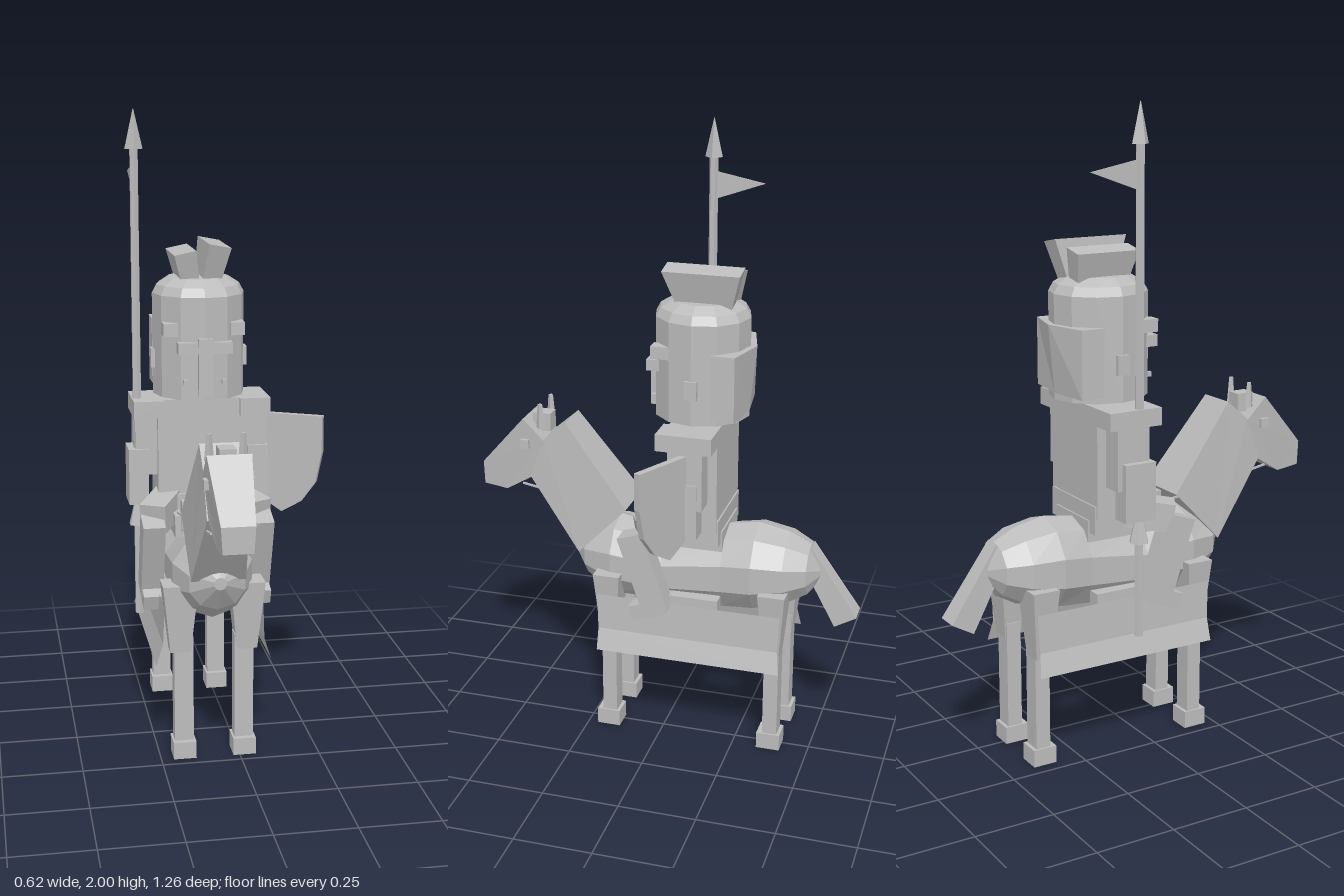
import * as THREE from 'three';

const grey = new THREE.MeshStandardMaterial({ color: 0xbcbcbc, side: THREE.DoubleSide });
grey.name = 'stone grey';

function add(parent, name, geo) {
  const g = geo.index ? geo.toNonIndexed() : geo;
  g.computeVertexNormals();
  const m = new THREE.Mesh(g, grey);
  m.name = name;
  parent.add(m);
  return m;
}

// Box given by its extents on each axis
function box(parent, name, [x0, x1], [y0, y1], [z0, z1]) {
  const g = new THREE.BoxGeometry(x1 - x0, y1 - y0, z1 - z0);
  g.translate((x0 + x1) / 2, (y0 + y1) / 2, (z0 + z1) / 2);
  return add(parent, name, g);
}

// Side profile of [z, y, halfWidth] points, widened in x about cx
function profile(parent, name, pts, cx = 0) {
  const shape = new THREE.Shape(pts.map(p => new THREE.Vector2(p[0], p[1])));
  const g = new THREE.ExtrudeGeometry(shape, { depth: 1, bevelEnabled: false });
  const pos = g.attributes.position;
  for (let i = 0; i < pos.count; i++) {
    const z = pos.getX(i), y = pos.getY(i), d = pos.getZ(i);
    const p = pts.find(q => Math.hypot(q[0] - z, q[1] - y) < 1e-4);
    pos.setXYZ(i, cx + (1 - 2 * d) * p[2], y, z);
  }
  return add(parent, name, g);
}

// Four-sided bar between two points
function bar(parent, name, a, b, w, d) {
  const p = new THREE.Vector3(...a), q = new THREE.Vector3(...b);
  const m = add(parent, name, new THREE.BoxGeometry(w, d, p.distanceTo(q)));
  m.position.copy(p).add(q).multiplyScalar(0.5);
  m.quaternion.setFromRotationMatrix(new THREE.Matrix4().lookAt(q, p, m.up));
  return m;
}

// Faceted barrel from [z, top, bottom, halfWidth] sections, front to rear
function barrel(sections, n = 10) {
  const v = [], idx = [];
  sections.forEach(([z, t, b, w]) => {
    for (let i = 0; i < n; i++) {
      const a = (i / n) * Math.PI * 2 + Math.PI / 2;
      v.push(w * Math.cos(a) / Math.cos(Math.PI / n / 2), (t + b) / 2 + (t - b) / 2 * Math.sin(a), z);
    }
  });
  const last = (sections.length - 1) * n;
  for (let i = 0; i < n; i++) {
    const j = (i + 1) % n;
    for (let s = 0; s < last; s += n) idx.push(s + i, s + n + i, s + n + j, s + i, s + n + j, s + j);
    if (i > 0 && i < n - 1) idx.push(0, i, j, last, last + j, last + i);
  }
  const g = new THREE.BufferGeometry();
  g.setAttribute('position', new THREE.Float32BufferAttribute(v, 3));
  g.setIndex(idx);
  return g;
}

function buildHorse(parent) {
  const horse = new THREE.Group();
  horse.name = 'horse';
  parent.add(horse);
  add(horse, 'horseBody', barrel([
    [0.325, 0.63, 0.59, 0.02], [0.27, 0.68, 0.51, 0.09], [0.17, 0.73, 0.45, 0.13],
    [0.0, 0.70, 0.45, 0.13], [-0.2, 0.74, 0.45, 0.13], [-0.3, 0.755, 0.46, 0.145],
    [-0.4, 0.735, 0.49, 0.13], [-0.47, 0.70, 0.53, 0.09], [-0.51, 0.64, 0.59, 0.03]]));
  profile(horse, 'neck', [[0.29, 0.61, 0.085], [0.46, 0.85, 0.062], [0.41, 0.985, 0.065],
    [0.335, 1.05, 0.065], [0.125, 0.78, 0.09]]);
  profile(horse, 'horseHead', [[0.55, 0.79, 0.047], [0.63, 0.80, 0.045], [0.63, 0.88, 0.05],
    [0.48, 1.05, 0.066], [0.41, 0.98, 0.066], [0.42, 0.87, 0.062]]);
  profile(horse, 'tail', [[-0.44, 0.65, 0.03], [-0.56, 0.435, 0.038], [-0.63, 0.475, 0.038], [-0.475, 0.70, 0.028]]);
  box(horse, 'forelock', [-0.025, 0.025], [1.0, 1.06], [0.4, 0.46]);
  for (const s of [-1, 1]) {
    const side = (a, b) => (s < 0 ? [-b, -a] : [a, b]);
    box(horse, 'eye', side(0.055, 0.075), [0.95, 0.98], [0.46, 0.49]);
    const ear = add(horse, 'ear', new THREE.CylinderGeometry(0.008, 0.015, 0.08, 4));
    ear.position.set(s * 0.05, 1.06, 0.425);
    bar(horse, 'rein', [s * 0.055, 0.82, 0.49], [s * 0.09, 0.76, 0.05], 0.006, 0.006);
    // Legs: front pair and rear pair
    for (const [name, z, zu] of [['frontLeg', 0.175, 0.173], ['rearLeg', -0.375, -0.375]]) {
      const x = s * 0.095;
      box(horse, name, [x - 0.03, x + 0.03], [0.05, 0.4], [z - 0.024, z + 0.024]);
      box(horse, 'hoof', [x - 0.036, x + 0.036], [0, 0.055], [z - 0.035, z + 0.042]);
      profile(horse, name + 'Upper', [[zu - 0.026, 0.35, 0.032], [zu + 0.026, 0.35, 0.032],
        [zu + 0.044, 0.57, 0.055], [zu - 0.044, 0.57, 0.055]], s * 0.105);
    }
    // Side cloth, flaring out toward its hem: rows of [x, y, front z, rear z]
    const rows = [[0.155, 0.50, 0.205, -0.405], [0.16, 0.38, 0.2, -0.4], [0.182, 0.31, 0.2, -0.41]];
    const cloth = new THREE.PlaneGeometry(1, 1, 1, rows.length - 1);
    rows.forEach(([x, y, front, rear], r) => {
      cloth.attributes.position.setXYZ(2 * r, s * x, y, rear);
      cloth.attributes.position.setXYZ(2 * r + 1, s * x, y, front);
    });
    add(horse, 'sideCloth', cloth);
    box(horse, 'girth', side(0.11, 0.155), [0.47, 0.53], [-0.2, -0.02]);
  }
  box(horse, 'saddle', [-0.1, 0.1], [0.68, 0.75], [-0.2, 0.06]);
  box(horse, 'saddleFront', [-0.08, 0.08], [0.70, 0.80], [0.04, 0.075]);
}

function buildHelmet(knight) {
  const helmet = new THREE.Group();
  helmet.name = 'helmet';
  helmet.position.z = -0.105;
  knight.add(helmet);
  const shell = [[0, 1.115], [0.152, 1.115], [0.152, 1.435], [0.137, 1.462], [0.10, 1.485], [0, 1.487]];
  const shellMesh = add(helmet, 'helmetShell', new THREE.LatheGeometry(shell.map(p => new THREE.Vector2(...p)), 12));
  shellMesh.scale.set(0.96, 1, 1);
  // Neck guard: angled plate round the back, its ridge drawn in at the bottom
  const plan = [[0.14, 0.06], [0.14, 0.135], [0, 0.172], [-0.14, 0.135], [-0.14, 0.06]];
  const guard = new THREE.ExtrudeGeometry(new THREE.Shape(plan.map(p => new THREE.Vector2(...p))),
    { depth: 0.21, bevelEnabled: false });
  const gp = guard.attributes.position;
  for (let i = 0; i < gp.count; i++) {
    if (gp.getZ(i) < 0.1 && gp.getY(i) > 0.15) gp.setY(i, 0.152);
  }
  guard.rotateX(-Math.PI / 2);
  guard.translate(0, 1.135, 0);
  add(helmet, 'neckGuard', guard);
  // Cross-shaped visor
  box(helmet, 'visorUpright', [-0.022, 0.022], [1.13, 1.31], [0.13, 0.164]);
  box(helmet, 'visorCrossbar', [-0.085, 0.085], [1.262, 1.298], [0.115, 0.16]);
  for (const s of [-1, 1]) {
    const brow = box(helmet, 'browPlate', [-0.022, 0.022], [1.315, 1.355], [-0.03, 0.03]);
    brow.position.set(s * 0.105, 0, 0.105);
    const hinge = box(helmet, 'hinge', [-0.01, 0.01], [1.2, 1.26], [-0.02, 0.02]);
    hinge.position.set(s * 0.143, 0, 0);
    box(helmet, 'breathHole', [s * 0.06 - 0.007, s * 0.06 + 0.007], [1.165, 1.18], [0.12, 0.15]);
  }
  // Two-part crest: x, tilt, z, height, length
  const crests = [[-0.034, 0.2, 0.0, 0.09, 0.21], [0.034, -0.19, 0, 0.112, 0.245]];
  for (const [x, tilt, z, h, len] of crests) {
    const m = profile(helmet, 'crest', [[-0.09, -0.01, 0.028], [0.08, -0.01, 0.028],
      [len / 2, h, 0.035], [-len / 2, h, 0.035]]);
    m.position.set(x, 1.478, z - 0.012);
    m.rotation.z = tilt;
  }
}

function buildKnight(parent) {
  const knight = new THREE.Group();
  knight.name = 'knight';
  parent.add(knight);
  box(knight, 'torso', [-0.14, 0.14], [0.76, 1.105], [-0.19, -0.03]);
  box(knight, 'waist', [-0.135, 0.135], [0.71, 0.80], [-0.195, -0.015]);
  box(knight, 'collar', [-0.08, 0.08], [1.08, 1.13], [-0.17, -0.03]);
  buildHelmet(knight);
  for (const s of [-1, 1]) {
    const side = (a, b) => (s < 0 ? [-b, -a] : [a, b]);
    box(knight, 'shoulder', side(0.12, 0.217), [1.05, 1.105], [-0.19, -0.012]);
    box(knight, 'upperArm', side(0.14, 0.21), [0.86, 1.06], [-0.16, -0.05]);
    box(knight, 'forearm', s < 0 ? [-0.232, -0.17] : [0.15, 0.215], [0.765, 0.945], [-0.145, -0.04]);
    // Riding legs bent at the knee
    bar(knight, 'thigh', [s * 0.09, 0.77, -0.09], [s * 0.17, 0.745, 0.06], 0.085, 0.09);
    bar(knight, 'shin', [s * 0.172, 0.745, 0.078], [s * 0.172, 0.49, -0.008], 0.07, 0.085);
    bar(knight, 'boot', [s * 0.172, 0.51, -0.035], [s * 0.172, 0.472, 0.075], 0.065, 0.05);
  }
}

function buildLance(model) {
  const lance = new THREE.Group();
  lance.name = 'lance';
  lance.position.set(-0.28, 0, -0.08);
  model.add(lance);
  const part = (name, rTop, rBot, y0, y1, n) => {
    const m = add(lance, name, new THREE.CylinderGeometry(rTop, rBot, y1 - y0, n));
    m.position.y = (y0 + y1) / 2;
  };
  part('lanceShaft', 0.014, 0.015, 0.39, 1.9, 6);
  part('lanceTip', 0.001, 0.028, 1.88, 2.0, 4);
  part('handGuard', 0.014, 0.032, 0.69, 0.76, 6);
  profile(lance, 'pennant', [[-0.01, 1.75, 0.003], [-0.01, 1.835, 0.003], [-0.165, 1.805, 0.003]]);
}

function buildShield(model) {
  const w = 0.132;
  const shape = new THREE.Shape([[-w, 0.16], [-w, 0.04], [-w * 0.85, -0.06], [-w * 0.5, -0.125], [0, -0.165],
    [w * 0.5, -0.125], [w * 0.85, -0.06], [w, 0.04], [w, 0.16]].map(p => new THREE.Vector2(...p)));
  const g = new THREE.ExtrudeGeometry(shape, { depth: 0.022, bevelEnabled: false });
  g.translate(0, 0, -0.011);
  const shield = add(model, 'shield', g);
  shield.position.set(0.19, 0.88, -0.068);
  shield.rotation.y = -0.48;
}

export function createModel() {
  const model = new THREE.Group();
  model.name = 'mountedKnight';
  const rider = new THREE.Group();
  rider.name = 'horseAndRider';
  rider.position.x = -0.08;
  model.add(rider);
  buildHorse(rider);
  buildKnight(rider);
  buildLance(model);
  buildShield(model);
  return model;
}
